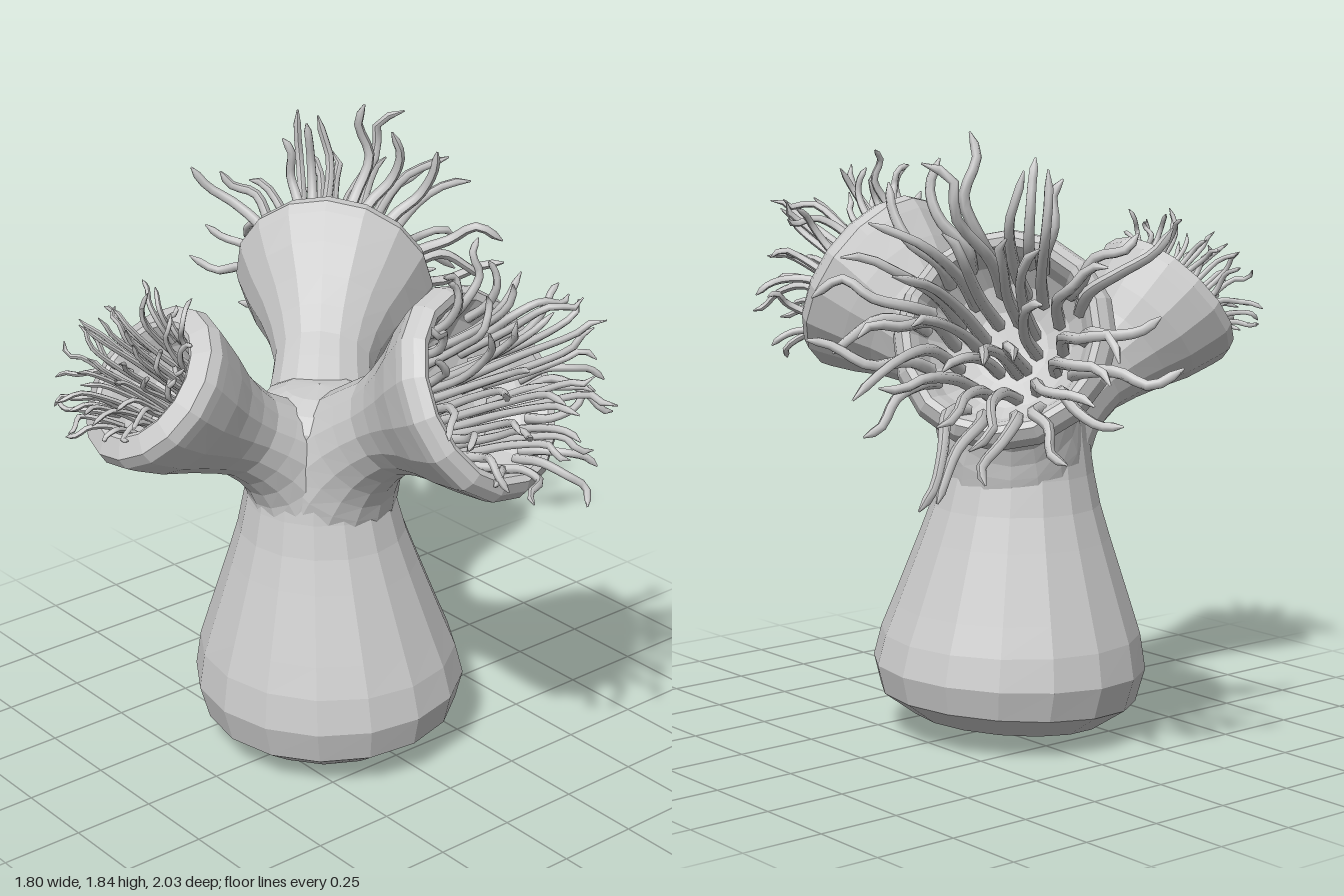
import * as THREE from 'three';

const V = (x, y, z) => new THREE.Vector3(x, y, z);
const UP = V(0, 1, 0);
const bodyMat = new THREE.MeshStandardMaterial({ color: 0xcccccc, flatShading: true });
const softMat = new THREE.MeshStandardMaterial({ color: 0xcccccc });

// Small seeded generator, returns -1..1
let seed = 7;
const jit = () => {
  seed = (seed * 16807) % 2147483647;
  return (seed / 2147483647) * 2 - 1;
};

// Skin a list of rings that all have the same number of points
function loft(rings) {
  const n = rings[0].length;
  const index = [];
  for (let i = 0; i < rings.length - 1; i++) {
    for (let j = 0; j < n; j++) {
      const k = (j + 1) % n;
      const a = i * n + j, b = i * n + k, c = a + n, d = b + n;
      index.push(a, b, d, a, d, c);
    }
  }
  const g = new THREE.BufferGeometry().setFromPoints(rings.flat());
  g.setIndex(index);
  g.computeVertexNormals();
  return g;
}

function ring(centre, u, v, ru, rv, n) {
  return Array.from({ length: n }, (_, j) => {
    const a = (j / n) * Math.PI * 2;
    return centre.clone().addScaledVector(u, Math.cos(a) * ru).addScaledVector(v, Math.sin(a) * rv);
  });
}

function addMesh(parent, name, geometry, material) {
  const m = new THREE.Mesh(geometry, material);
  m.name = name;
  parent.add(m);
}

// Piecewise linear lookup in [[t, value], ...]
function lookup(table, t) {
  for (let i = 1; i < table.length; i++) {
    const [t0, a] = table[i - 1], [t1, b] = table[i];
    if (t <= t1) return a + ((b - a) * (t - t0)) / (t1 - t0);
  }
  return table[table.length - 1][1];
}

// Flared trunk with a slightly tilted, rounded foot and a domed top
function trunk() {
  const profile = [
    [0.015, 0.002], [0.015, 0.14], [0.045, 0.28], [0.115, 0.38], [0.21, 0.405], [0.31, 0.385],
    [0.4, 0.353], [0.5, 0.318], [0.6, 0.283], [0.7, 0.25], [0.8, 0.226], [0.9, 0.212],
    [1.0, 0.202], [1.07, 0.19], [1.115, 0.16], [1.145, 0.1], [1.155, 0.002],
  ];
  return loft(profile.map(([y, r]) => {
    const k = Math.min(y / 0.8, 1);
    const pts = ring(V(-0.035 - 0.03 * k, y, -0.02 - 0.015 * k), V(1, 0, 0), V(0, 0, -1), r, r * 1.05, 16);
    const tilt = 0.09 * Math.max(0, 1 - y / 0.35);
    pts.forEach((p) => { p.y = Math.max(0, p.y + tilt * p.x); });
    return pts;
  }));
}

// Limb radius along its length, as a share of a scale that runs from trunk to mouth
const LIMB = [[0, 0.73], [0.25, 0.69], [0.5, 0.53], [0.66, 0.5], [0.8, 0.66], [0.9, 0.84], [1, 0.99]];
// Outer shoulder, then the inside of the cup: [offset along the axis, share of the mouth radius]
const SHOULDER = [[-0.045, 1.03], [-0.01, 0.99]];
const HOLLOW = [[0.012, 0.91], [0.005, 0.84], [-0.025, 0.78], [-0.07, 0.72], [-0.12, 0.58], [-0.15, 0.35], [-0.16, 0.005]];

function limb({ centre, normal, side, rise, open }) {
  const n = normal.clone().normalize();
  const root = V(-0.06, 0.7, -0.035);
  const end = centre.clone().addScaledVector(n, -0.08);
  const out = end.clone().sub(root).setY(0).normalize();
  const mouthDir = n.clone().setY(0).normalize();
  const handle = mouthDir.clone().lerp(out, 0.6).multiplyScalar(Math.hypot(n.x, n.z)).setY(n.y);
  const path = new THREE.CubicBezierCurve3(
    root, V(root.x, 1.01, root.z).addScaledVector(out, 0.03), end.clone().addScaledVector(handle, -0.34), end);

  const rings = [];
  const steps = 11;
  for (let i = 0; i <= steps; i++) {
    const t = i / steps;
    const tangent = path.getTangent(t).lerp(n, t * t);
    const u = UP.clone().cross(out.clone().lerp(mouthDir, t)).normalize();
    const v = tangent.cross(u).normalize();
    const r = lookup(LIMB, t);
    const mix = (mouth) => r * (0.3 + (mouth - 0.3) * t);
    rings.push(ring(path.getPoint(t), u, v, mix(side), mix(rise), 16));
  }
  const u = UP.clone().cross(mouthDir).normalize();
  const v = n.clone().cross(u).normalize();
  for (const [a, r] of [...SHOULDER, ...HOLLOW.map(([h, s]) => [h, s * open])]) {
    rings.push(ring(centre.clone().addScaledVector(n, a), u, v, r * side, r * rise, 16));
  }
  return { geometry: loft(rings), frame: { centre, n, u, v, side, rise } };
}

// One tapering, wavy tentacle through the given points
function tentacle(points, radius) {
  const curve = new THREE.CatmullRomCurve3(points);
  const segs = 12, sides = 6;
  const g = new THREE.TubeGeometry(curve, segs, radius, sides);
  const pos = g.attributes.position;
  const p = V(0, 0, 0);
  for (let i = 0; i <= segs; i++) {
    const c = curve.getPointAt(i / segs);
    const s = i === segs ? 0.15 : 1.1 - 0.4 * (i / segs);
    for (let j = 0; j <= sides; j++) {
      const k = i * (sides + 1) + j;
      p.fromBufferAttribute(pos, k).sub(c).multiplyScalar(s).add(c);
      pos.setXYZ(k, p.x, p.y, p.z);
    }
  }
  g.computeVertexNormals();
  return g;
}

// Rings of tentacles, outer to inner: [count, root radius, root depth]
const CROWN = [[18, 0.72, -0.05], [14, 0.5, -0.13], [9, 0.25, -0.15]];

// tips: [radius share, height] for each ring
function crown(parent, { centre, n, u, v, side, rise }, { tips, thick, open }) {
  const at = (ang, rho, axial) => centre.clone()
    .addScaledVector(u, Math.cos(ang) * rho * side)
    .addScaledVector(v, Math.sin(ang) * rho * rise)
    .addScaledVector(n, axial);
  CROWN.forEach(([count, share, depth], row) => {
    const rho = share * open;
    for (let i = 0; i < count; i++) {
      const ang = ((i + jit() * 0.3) / count) * Math.PI * 2;
      const tipR = tips[row][0] * (1 + jit() * 0.12);
      const tipA = tips[row][1] * (1 + jit() * 0.22);
      const bend = jit() * 0.3;
      const points = [
        at(ang, rho, depth),
        at(ang + jit() * 0.08, rho + (tipR - rho) * 0.14, depth + (tipA - depth) * 0.5),
        at(ang + bend * 0.3 + jit() * 0.1, rho + (tipR - rho) * 0.46, depth + (tipA - depth) * 0.86),
        at(ang + bend * 0.7 - jit() * 0.1, rho + (tipR - rho) * 0.78, depth + (tipA - depth) * 0.95),
        at(ang + bend, tipR, tipA),
      ];
      addMesh(parent, 'tentacle', tentacle(points, thick), softMat);
    }
  });
}

export function createModel() {
  const model = new THREE.Group();
  model.name = 'tentacledPolyp';
  addMesh(model, 'trunk', trunk(), bodyMat);

  const limbs = [
    { name: 'frontLimb', centre: V(-0.005, 1.335, 0.63), normal: V(0.17, 0.48, 0.84), side: 0.275, rise: 0.305, open: 1,
      tips: [[1.2, 0.12], [0.85, 0.22], [0.5, 0.3]], thick: 0.0135 },
    { name: 'rightLimb', centre: V(-0.65, 1.3, -0.09), normal: V(-0.74, 0.64, -0.1), side: 0.25, rise: 0.245, open: 0.84,
      tips: [[1.05, 0.09], [0.8, 0.14], [0.4, 0.18]], thick: 0.0095 },
    { name: 'backLeftLimb', centre: V(0.375, 1.285, -0.495), normal: V(0.72, 0.36, -0.6), side: 0.305, rise: 0.305, open: 1,
      tips: [[1.6, 0.14], [1.25, 0.3], [0.65, 0.4]], thick: 0.018 },
  ];
  for (const spec of limbs) {
    const group = new THREE.Group();
    group.name = spec.name;
    const { geometry, frame } = limb(spec);
    addMesh(group, 'limbAndCup', geometry, bodyMat);
    crown(group, frame, spec);
    model.add(group);
  }
  return model;
}
